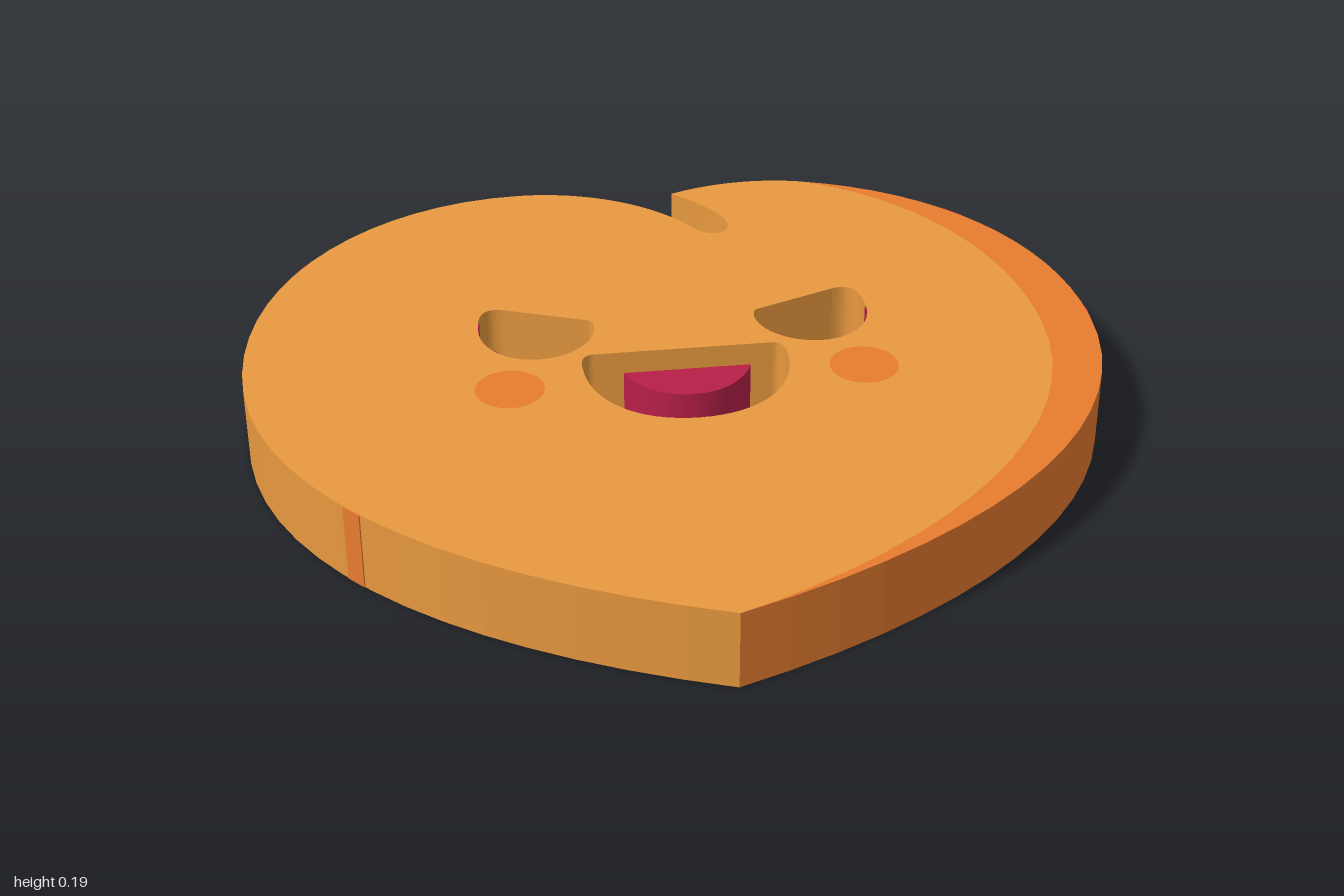
import * as THREE from 'three';

const H = 0.19;
const ORANGE = 0xe8993f, SHADE = 0xe87c30, CRIMSON = 0xb81f48;

// Closed outline from steps in plan (x, z): 2 numbers = line, 6 = bezier
function outline(steps, Type = THREE.Shape, map = (x) => x) {
  const path = new Type();
  steps.forEach((s, i) => {
    const p = s.map((v, k) => (k % 2 ? -v : map(v)));
    if (i === 0) path.moveTo(...p);
    else if (p.length === 2) path.lineTo(...p);
    else path.bezierCurveTo(...p);
  });
  return path;
}

function slab(name, shape, color) {
  const geo = new THREE.ExtrudeGeometry(shape, { depth: H, bevelEnabled: false, curveSegments: 16 });
  geo.rotateX(-Math.PI / 2);
  const mesh = new THREE.Mesh(geo, new THREE.MeshStandardMaterial({ color }));
  mesh.name = name;
  return mesh;
}

// Thin upright stripe lying on the wall of an outline, nearest to (x, z)
function stripe(name, shape, x, z, width, color) {
  const pts = shape.getPoints(16);
  const target = new THREE.Vector2(x, -z);
  let best = { d: Infinity };
  for (let i = 0; i < pts.length - 1; i++) {
    const mid = pts[i].clone().add(pts[i + 1]).multiplyScalar(0.5);
    const d = mid.distanceTo(target);
    if (d < best.d) best = { d, mid, dir: pts[i + 1].clone().sub(pts[i]) };
  }
  const mesh = new THREE.Mesh(
    new THREE.BoxGeometry(width, H - 0.002, 0.006),
    new THREE.MeshStandardMaterial({ color })
  );
  mesh.position.set(best.mid.x, H / 2, -best.mid.y);
  mesh.rotation.y = Math.atan2(best.dir.y, best.dir.x);
  mesh.name = name;
  return mesh;
}

export function createModel() {
  const group = new THREE.Group();

  // Outer rim on the right of the plan, from the tip up to the lobe
  const rim = [
    [0, 0.91],
    [0.62, 0.7, 1, 0.33, 1, -0.13],
    [1, -0.5, 0.78, -0.8, 0.43, -0.9],
  ];
  // Notch and the left half
  const rest = [
    [0.32, -0.93, 0.2, -0.92, 0.09, -0.875],
    [0.15, -0.82, 0.21, -0.75, 0.21, -0.7],
    [0.21, -0.64, 0.15, -0.635, 0.12, -0.69],
    [0.03, -0.83, -0.13, -0.915, -0.3, -0.915],
    [-0.68, -0.915, -1, -0.58, -1, -0.13],
    [-1, 0.33, -0.62, 0.7, 0, 0.91],
  ];
  const whole = outline([...rim, ...rest]);

  // Body stops at the inner edge of the shaded crescent
  const body = outline([
    [0, 0.91],
    [0.45, 0.74, 0.88, 0.36, 0.88, -0.12],
    [0.88, -0.48, 0.7, -0.78, 0.43, -0.9],
    ...rest,
  ]);
  const crescent = outline([
    ...rim,
    [0.7, -0.78, 0.88, -0.48, 0.88, -0.12],
    [0.88, 0.36, 0.45, 0.74, 0, 0.91],
  ]);

  // Eye openings, mirrored about the face centre
  const eyeSteps = [
    [0.4, -0.34],
    [0.2, -0.265],
    [0.19, -0.25, 0.19, -0.23, 0.195, -0.21],
    [0.21, -0.15, 0.27, -0.105, 0.335, -0.105],
    [0.41, -0.105, 0.465, -0.17, 0.465, -0.245],
    [0.465, -0.32, 0.45, -0.355, 0.4, -0.34],
  ];
  const eyes = [-1, 1].map((s) => outline(eyeSteps, THREE.Path, (u) => 0.015 + s * u));

  const mouth = outline([
    [-0.19, -0.11],
    [0.23, -0.11],
    [0.25, -0.11, 0.258, -0.09, 0.258, -0.06],
    [0.258, 0.09, 0.16, 0.188, 0.018, 0.188],
    [-0.125, 0.188, -0.222, 0.09, -0.222, -0.06],
    [-0.222, -0.09, -0.215, -0.11, -0.19, -0.11],
  ], THREE.Path);
  body.holes.push(...eyes, mouth);

  // Cheeks are discs set flush through the body
  for (const [name, x] of [['rightCheek', -0.395], ['leftCheek', 0.425]]) {
    const cheek = new THREE.Shape();
    cheek.absarc(x, -0.015, 0.08, 0, Math.PI * 2);
    body.holes.push(cheek);
    group.add(slab(name, cheek, SHADE));
  }

  group.add(slab('body', body, ORANGE));
  group.add(slab('shadedEdge', crescent, SHADE));

  const tongue = outline([
    [-0.13, -0.02],
    [0.165, -0.02],
    [0.14, 0.05, 0.085, 0.09, 0.018, 0.09],
    [-0.05, 0.09, -0.105, 0.05, -0.13, -0.02],
  ]);
  group.add(slab('tongue', tongue, CRIMSON));

  // Coloured stripes on the outer wall and inside the eyes
  group.add(
    stripe('sideStripe', whole, 1, -0.13, 0.03, CRIMSON),
    stripe('backStripe', whole, 0.78, -0.71, 0.05, CRIMSON),
    stripe('rearStripe', whole, -0.86, -0.62, 0.035, CRIMSON),
    stripe('frontStripe', whole, -0.74, 0.48, 0.05, SHADE),
    stripe('rightEyeStripe', eyes[0], -0.445, -0.28, 0.015, CRIMSON),
    stripe('rightEyeStripe', eyes[0], -0.42, -0.15, 0.015, CRIMSON),
    stripe('leftEyeStripe', eyes[1], 0.48, -0.24, 0.015, CRIMSON)
  );
  return group;
}
